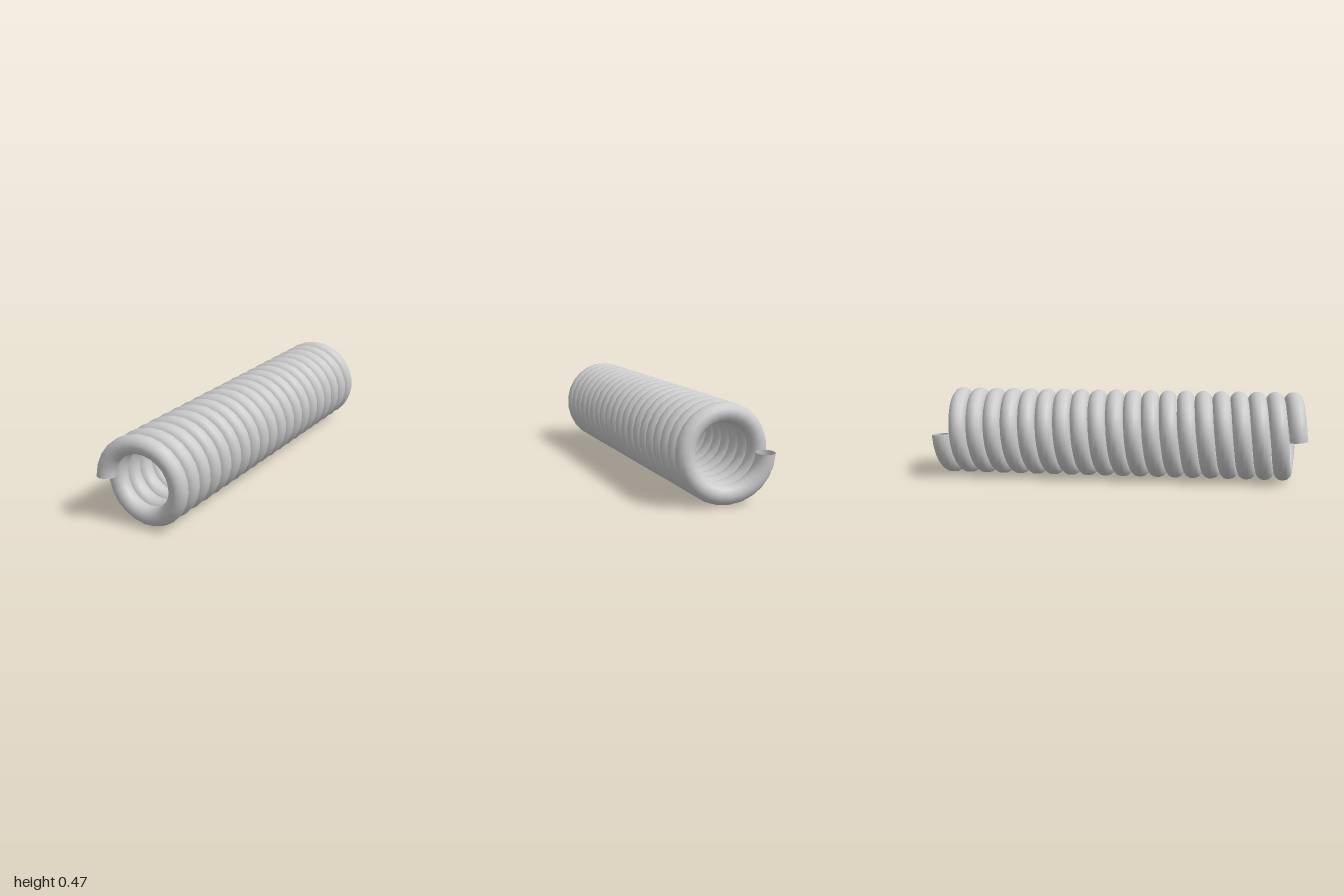
import * as THREE from 'three';

const TURNS = 20, COIL_RADIUS = 0.19, WIRE_RADIUS = 0.047, CENTRE_Y = 0.239, HALF_LENGTH = 0.953;

// Helix along z: starts at the front on the -x side, rises over the top and winds to the back
class Helix extends THREE.Curve {
  getPoint(t, target = new THREE.Vector3()) {
    const a = t * TURNS * Math.PI * 2;
    return target.set(
      -COIL_RADIUS * Math.cos(a),
      CENTRE_Y + COIL_RADIUS * Math.sin(a),
      HALF_LENGTH * (1 - 2 * t)
    );
  }
  // Uniform parameter is already uniform in arc length
  getPointAt(t, target) { return this.getPoint(t, target); }
  getTangentAt(t, target) { return this.getTangent(t, target); }
  // Exact direction, so both wire ends are cut square
  getTangent(t, target = new THREE.Vector3()) {
    const w = TURNS * Math.PI * 2, a = t * w;
    return target.set(
      COIL_RADIUS * w * Math.sin(a),
      COIL_RADIUS * w * Math.cos(a),
      -2 * HALF_LENGTH
    ).normalize();
  }
}

export function createModel() {
  const group = new THREE.Group();
  group.name = 'coilSpring';

  // Wire with open ends
  const wire = new THREE.Mesh(
    new THREE.TubeGeometry(new Helix(), TURNS * 25, WIRE_RADIUS, 14, false),
    new THREE.MeshStandardMaterial({ color: 0xcccccc, side: THREE.DoubleSide })
  );
  wire.name = 'springWire';
  group.add(wire);
  return group;
}
